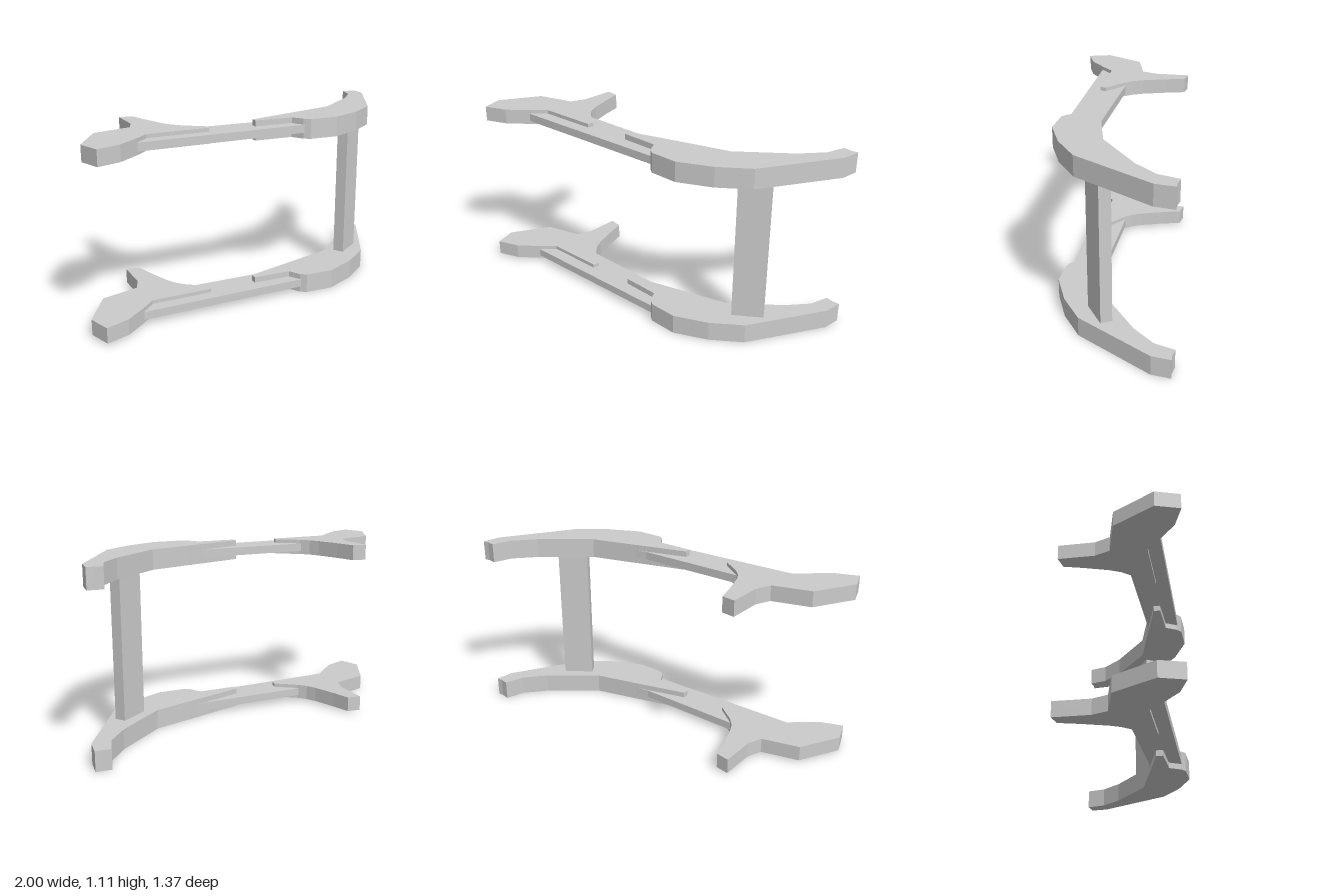
import * as THREE from 'three';

const material = new THREE.MeshStandardMaterial({ color: 0xcccccc, flatShading: true });

// Extrudes an outline given as [x, z] pairs upward from y0 to y1
function plate(name, outline, y0, y1) {
  const shape = new THREE.Shape(outline.map(([x, z]) => new THREE.Vector2(x, -z)));
  const geometry = new THREE.ExtrudeGeometry(shape, { depth: y1 - y0, bevelEnabled: false });
  geometry.rotateX(-Math.PI / 2).translate(0, y0, 0);
  const mesh = new THREE.Mesh(geometry, material);
  mesh.name = name;
  return mesh;
}

const ARM = [
  [0.01, 0.18], [0.35, 0], [0.58, -0.12], [0.81, -0.4], [0.89, -0.55], [0.897, -0.675],
  [0.95, -0.677], [0.988, -0.688], [1, -0.575], [0.84, -0.07], [0.7, 0.09], [0.525, 0.22],
  [0.35, 0.253], [0.31, 0.235], [0.255, 0.175], [0.02, 0.22],
];

const BAR = [
  [-0.7, 0.483], [0.32, 0.237], [0.32, 0.016], [0.24, 0.05], [-0.43, 0.19], [-0.6, 0.226],
];

const CLAW = [
  [-0.745, -0.135], [-0.66, -0.14], [-0.6, -0.03], [-0.52, 0.1], [-0.475, 0.155], [-0.42, 0.195],
  [-0.275, 0.26], [-0.275, 0.3], [-0.64, 0.385], [-0.7, 0.475], [-0.8, 0.605], [-0.925, 0.685],
  [-1, 0.56], [-0.92, 0.29], [-0.71, 0.18], [-0.695, 0.08],
];

const POST = [[0.66, -0.12], [0.71, -0.07], [0.84, -0.21], [0.79, -0.26]];

export function createModel() {
  const model = new THREE.Group();
  model.name = 'twinArmFrame';

  // Two identical arms, one above the other
  [['lowerArm', 0], ['upperArm', 0.992]].forEach(([name, y]) => {
    const arm = new THREE.Group();
    arm.name = name;
    arm.position.y = y;
    arm.add(
      plate('curvedArm', ARM, 0, 0.12),
      plate('linkBar', BAR, 0.036, 0.085),
      plate('claw', CLAW, 0.015, 0.108),
    );
    model.add(arm);
  });

  // Upright joining the arms
  model.add(plate('post', POST, 0.11, 1.0));
  return model;
}
